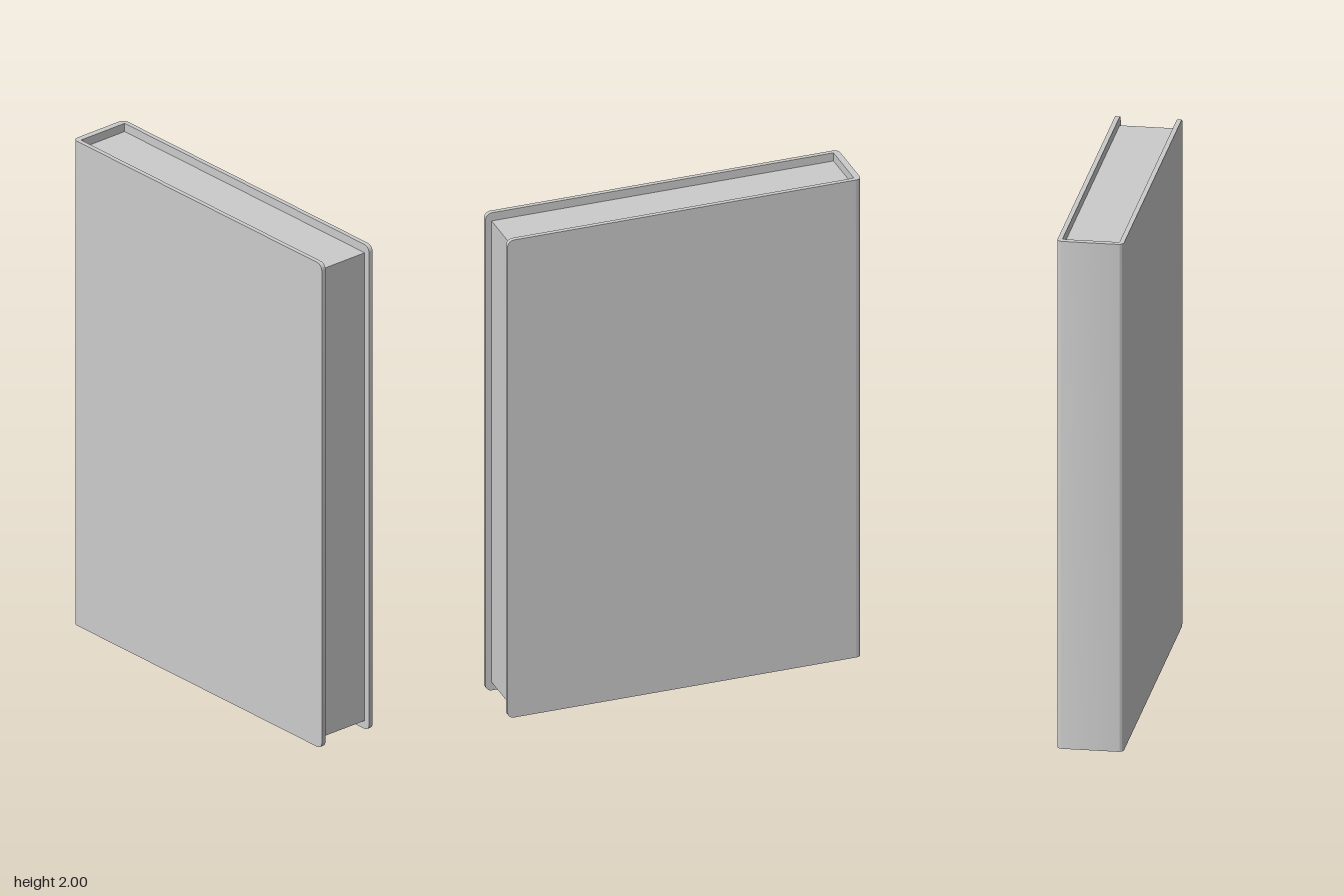
import * as THREE from 'three';
import { toCreasedNormals } from 'three/addons/utils/BufferGeometryUtils.js';

const W = 0.125, D = 0.702, H = 2;      // half width, half depth, height
const BOARD = 0.018, SPINE = 0.025;     // cover thicknesses
const INSET = 0.034;                    // cover overhang above and below the pages
const PAGE_FRONT = 0.678;

const material = new THREE.MeshStandardMaterial({ color: 0xcccccc });

function addMesh(group, geometry, name) {
  const mesh = new THREE.Mesh(geometry, material);
  mesh.name = name;
  group.add(mesh);
  return mesh;
}

function extrude(shape, depth) {
  const geometry = new THREE.ExtrudeGeometry(shape, { depth, bevelEnabled: false, curveSegments: 6 });
  return toCreasedNormals(geometry, 0.6);
}

// Cover board outline (z, y), with rounded fore-edge corners
function boardGeometry() {
  const r = 0.025, back = -D + SPINE;
  const s = new THREE.Shape();
  s.moveTo(back, 0);
  s.lineTo(D - r, 0);
  s.absarc(D - r, r, r, -Math.PI / 2, 0);
  s.lineTo(D, H - r);
  s.absarc(D - r, H - r, r, 0, Math.PI / 2);
  s.lineTo(back, H);
  return extrude(s, BOARD).rotateY(-Math.PI / 2);
}

// Spine outline (x, -z), rounded on the two outer edges
function spineGeometry() {
  const r = 0.022, inner = D - SPINE;
  const s = new THREE.Shape();
  s.moveTo(-W, inner);
  s.lineTo(W, inner);
  s.lineTo(W, D - r);
  s.absarc(W - r, D - r, r, 0, Math.PI / 2);
  s.lineTo(-W + r, D);
  s.absarc(-W + r, D - r, r, Math.PI / 2, Math.PI);
  return extrude(s, H).rotateX(-Math.PI / 2);
}

export function createModel() {
  const book = new THREE.Group();
  book.name = 'book';

  // Hard cover
  const cover = new THREE.Group();
  cover.name = 'cover';
  book.add(cover);
  const board = boardGeometry();
  addMesh(cover, board, 'leftBoard').position.x = W;
  addMesh(cover, board, 'rightBoard').position.x = -W + BOARD;
  addMesh(cover, spineGeometry(), 'spine');

  // Page block, set back from the cover edges
  const back = -D + SPINE;
  const pages = addMesh(book,
    new THREE.BoxGeometry(2 * (W - BOARD), H - 2 * INSET, PAGE_FRONT - back), 'pages');
  pages.position.set(0, H / 2, (PAGE_FRONT + back) / 2);

  return book;
}
